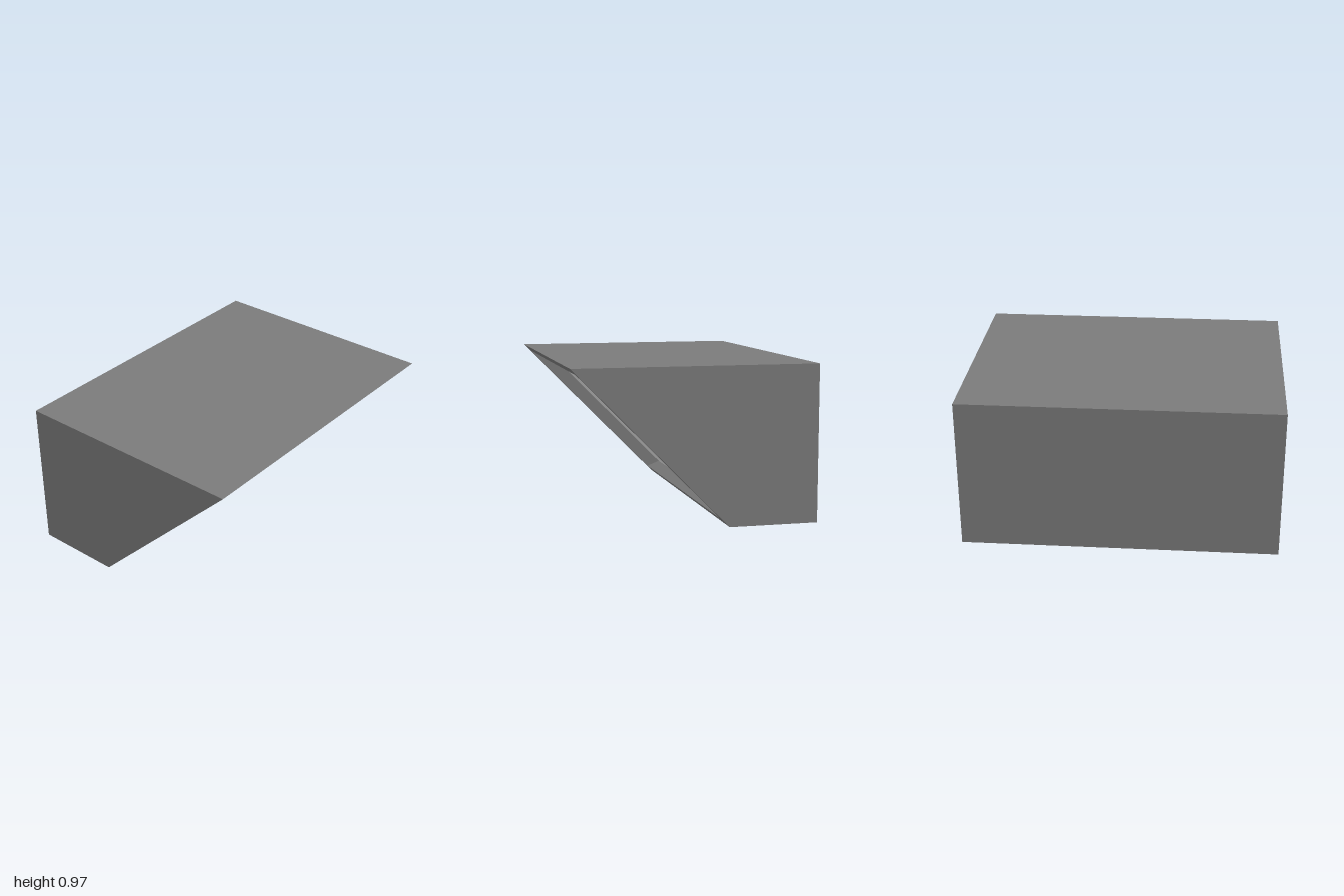
import * as THREE from 'three';

const quad = (a, b, c, d) => [a, b, c, a, c, d];

// Flat-shaded mesh from a list of triangle corners
function facets(name, corners, material) {
  const geometry = new THREE.BufferGeometry().setFromPoints(corners);
  geometry.computeVertexNormals();
  const mesh = new THREE.Mesh(geometry, material);
  mesh.name = name;
  return mesh;
}

// Four-cornered ring, counter-clockwise when seen from +x
function ring(low, high, halfDepth) {
  return [[low, 1], [low, -1], [high, -1], [high, 1]].map(
    ([p, side]) => new THREE.Vector3(p.x, p.y, side * halfDepth));
}

export function createModel() {
  const caseGrey = new THREE.MeshStandardMaterial({ color: 0x7b7b7b });
  caseGrey.name = 'caseGrey';
  const panelGrey = new THREE.MeshStandardMaterial({ color: 0xe6e6e6 });
  panelGrey.name = 'panelGrey';

  const border = 0.06;

  // Section through the wedge: upright back and sloping open face
  const backLow = new THREE.Vector2(-0.755, 0);
  const backHigh = new THREE.Vector2(-0.755, 0.97);
  const low = new THREE.Vector2(-0.2, 0);
  const high = new THREE.Vector2(0.755, 0.97);
  const along = high.clone().sub(low).normalize();

  // Rim opening, and the panel set back obliquely behind it
  const recess = new THREE.Vector2(-0.087, 0.033);
  const openLow = low.clone().addScaledVector(along, border);
  const openHigh = high.clone().addScaledVector(along, -border);
  const floorLow = openLow.clone().add(recess);
  const floorHigh = openHigh.clone().add(recess);

  const rings = [
    ring(backLow, backHigh, 1),
    ring(low, high, 1),
    ring(openLow, openHigh, 1 - border),
    ring(floorLow, floorHigh, 1 - border),
  ];

  // Outer walls, sloping rim and recess walls
  const bridge = (a, b) => a.flatMap((p, i) => {
    const j = (i + 1) % 4;
    return quad(p, a[j], b[j], b[i]);
  });
  const walls = ['outerWalls', 'slopingRim', 'recessWalls'];

  const group = new THREE.Group();
  group.name = 'wedgeCase';
  walls.forEach((name, i) =>
    group.add(facets(name, bridge(rings[i], rings[i + 1]), caseGrey)));

  // Back wall and the pale panel
  group.add(facets('backWall', quad(...rings[0].slice().reverse()), caseGrey));
  group.add(facets('recessedPanel', quad(...rings[3]), panelGrey));
  return group;
}
